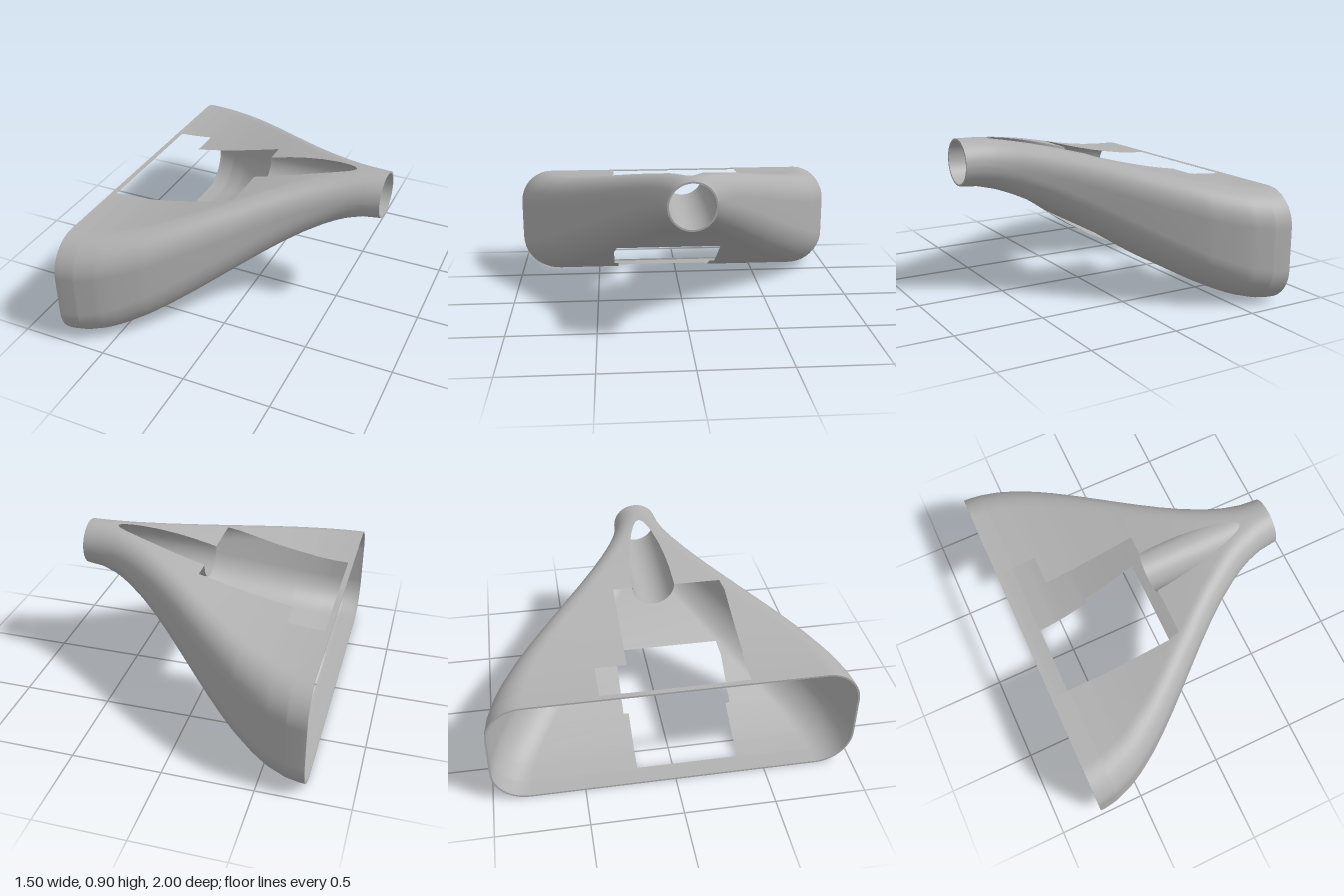
import * as THREE from 'three';
import { mergeVertices } from 'three/addons/utils/BufferGeometryUtils.js';

const lerp = THREE.MathUtils.lerp;
const BORE = 0.12, AXIS = 0.773, TIP = 0.576;

// Cross-section at x: rounded rectangle easing into a circle
function section(x) {
  const s = THREE.MathUtils.smoothstep(x, -0.75, 0.75);
  const r = lerp(0.2, 0.13, s), hw = lerp(1, 0.13, s), hh = lerp(0.3175, 0.13, s);
  const cy = lerp(0.3175, AXIS, s);
  return { r, hh, cy, flat: hw - r, top: cy + hh, bottom: cy - hh };
}

// Shared stations along the duct, including every cut line
const cuts = [-0.72, -0.64, -0.515, -0.315, 0.02, 0.5, 0.53, 0.55, 0.565, TIP];
const stations = [...cuts];
for (let i = 0; i <= 15; i++) stations.push(-0.75 + i * 0.1);
const xs = [...new Set(stations.map((x) => +x.toFixed(4)))].sort((a, b) => a - b);

// Appends a strip of triangles from x0 to x1; fn(x, k) gives [z, y]
function addSurface(out, x0, x1, n, fn) {
  const list = xs.filter((x) => x >= x0 - 1e-6 && x <= x1 + 1e-6);
  const point = (x, k) => { const [z, y] = fn(x, k); return [x, y, z]; };
  for (let i = 0; i < list.length - 1; i++) {
    for (let k = 0; k < n; k++) {
      const a = point(list[i], k), b = point(list[i + 1], k);
      const c = point(list[i], k + 1), d = point(list[i + 1], k + 1);
      out.push(...a, ...c, ...b, ...b, ...c, ...d);
    }
  }
}

function toGeometry(positions) {
  let g = new THREE.BufferGeometry();
  g.setAttribute('position', new THREE.Float32BufferAttribute(positions, 3));
  g = mergeVertices(g, 1e-4);
  g.computeVertexNormals();
  return g;
}

// Half width of the bore where it breaks through the top
function slotWidth(x) {
  const h = section(x).top - AXIS;
  return Math.sqrt(Math.max(0, BORE * BORE - h * h));
}

// Flat panel (s = 1 top, s = -1 bottom), with an optional gap from lo(x) to hi(x)
function addPanel(out, s, x0, x1, lo, hi) {
  const strip = (from, to) => addSurface(out, x0, x1, 1, (x, k) => {
    const { flat, top, bottom } = section(x);
    const z = THREE.MathUtils.clamp((k === (s > 0 ? 0 : 1) ? from : to)(x), -flat, flat);
    return [z, s > 0 ? top : bottom];
  });
  const left = () => -9, right = () => 9;
  if (!lo) return strip(left, right);
  strip(left, lo);
  strip(hi, right);
}

// Rounded side wall, s = 1 for +z and -1 for -z
function addSide(out, s) {
  const n = 10;
  addSurface(out, -0.75, 0.75, 2 * n + 1, (x, k) => {
    const { r, hh, cy, flat } = section(x);
    const upper = k <= n;
    const a = (Math.PI / 2) * (1 - (upper ? k : k - 1) / n);
    const y = (upper ? 1 : -1) * (hh - r) + r * Math.sin(a);
    return [s * (flat + r * Math.cos(a)), cy + s * y];
  });
}

// Rounded rectangle outline of the wide mouth
function mouthPath(path, inset) {
  const { r, hh, cy, flat } = section(-0.75);
  const q = Math.PI / 2, dy = hh - r, rad = r - inset;
  path.absarc(flat, cy + dy, rad, 0, q);
  path.absarc(-flat, cy + dy, rad, q, 2 * q);
  path.absarc(-flat, cy - dy, rad, 2 * q, 3 * q);
  path.absarc(flat, cy - dy, rad, 3 * q, 4 * q);
  path.closePath();
  return path;
}

export function createModel() {
  const group = new THREE.Group();
  const grey = new THREE.MeshStandardMaterial({ color: 0xb0b0b0, side: THREE.DoubleSide });
  grey.name = 'grey';
  const add = (name, geometry) => {
    const mesh = new THREE.Mesh(geometry, grey);
    mesh.name = name;
    group.add(mesh);
    return mesh;
  };
  const at = (v) => () => v;

  // Duct shell with its top and bottom openings
  const shell = [];
  addSide(shell, 1);
  addSide(shell, -1);
  addPanel(shell, 1, -0.75, -0.72);
  addPanel(shell, 1, -0.72, -0.515, at(-0.4), at(0.395));
  addPanel(shell, 1, -0.515, 0.02, at(-0.23), at(0.4));
  addPanel(shell, 1, 0.02, TIP, (x) => -slotWidth(x), slotWidth);
  addPanel(shell, 1, TIP, 0.75);
  addPanel(shell, -1, -0.75, -0.64);
  addPanel(shell, -1, -0.64, -0.315, at(-0.2), at(0.375));
  addPanel(shell, -1, -0.315, 0.02, at(-0.23), at(0.4));
  addPanel(shell, -1, 0.02, 0.75);
  add('ductShell', toGeometry(shell));

  // Bore: a full tube in the neck, an open trough behind it
  const bore = [];
  addSurface(bore, 0.02, 0.75, 40, (x, k) => {
    const open = x >= TIP ? 0 : Math.acos(THREE.MathUtils.clamp((section(x).top - AXIS) / BORE, -1, 1));
    const a = lerp(open, 2 * Math.PI - open, k / 40);
    return [BORE * Math.sin(a), AXIS + BORE * Math.cos(a)];
  });
  add('boreTrough', toGeometry(bore));

  // Wall thickness at both ends
  const mouth = mouthPath(new THREE.Shape(), 0);
  mouth.holes.push(mouthPath(new THREE.Path(), 0.01));
  const mouthRim = new THREE.ShapeGeometry(mouth, 10);
  mouthRim.rotateY(-Math.PI / 2);
  add('mouthRim', mouthRim).position.x = -0.75;

  const neckRim = new THREE.RingGeometry(BORE, 0.13, 40);
  neckRim.rotateY(Math.PI / 2);
  add('neckRim', neckRim).position.set(0.75, AXIS, 0);

  return group;
}
